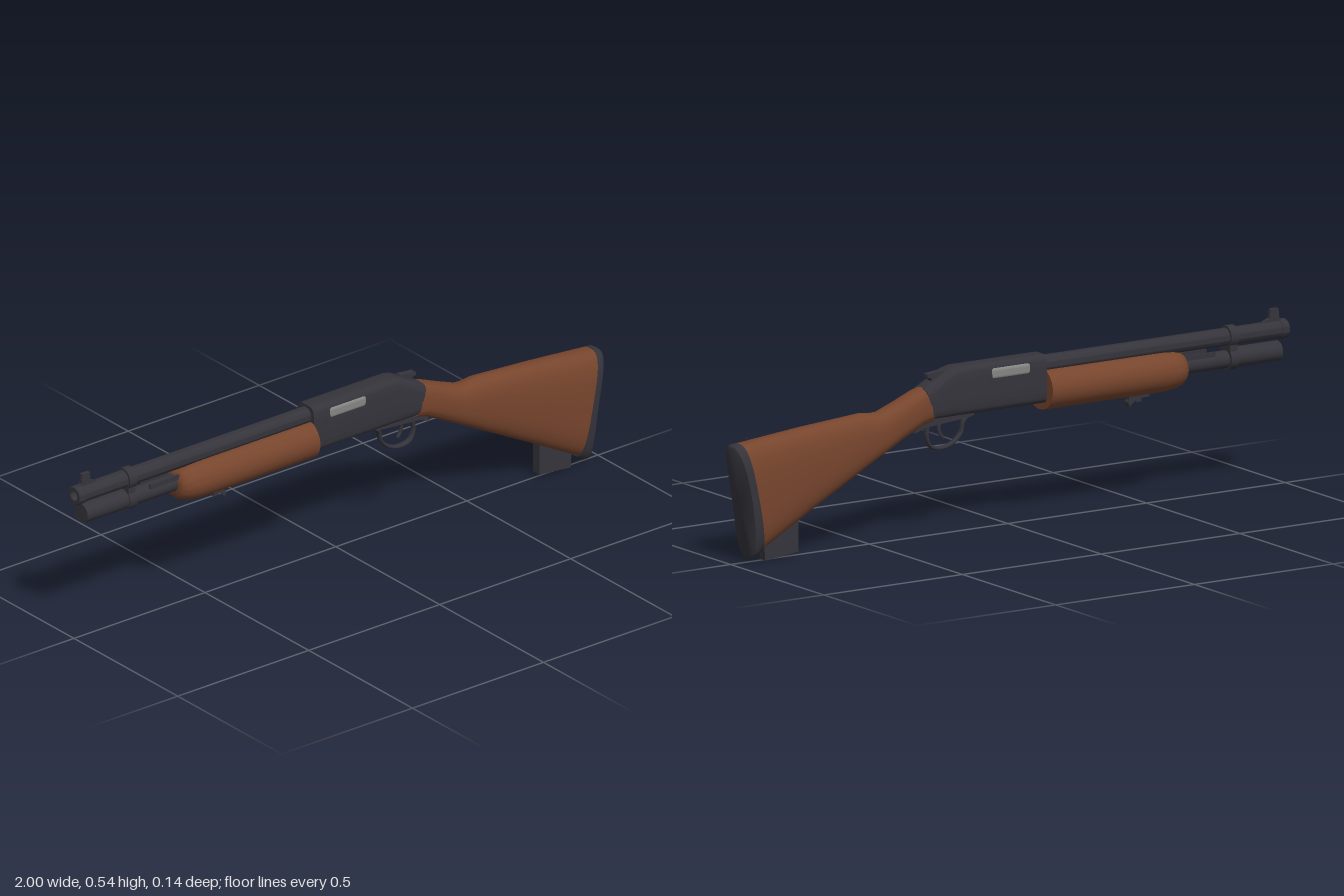
import * as THREE from 'three';
import { toCreasedNormals } from 'three/addons/utils/BufferGeometryUtils.js';
import { RoundedBoxGeometry } from 'three/addons/geometries/RoundedBoxGeometry.js';

// Skin a list of rings (ordered along +x, points running from +y towards +z) and cap both ends
function loft(rings) {
  const n = rings[0].length, pos = [], idx = [];
  rings.forEach(r => r.forEach(p => pos.push(p.x, p.y, p.z)));
  for (let i = 0; i < rings.length - 1; i++) {
    for (let j = 0; j < n; j++) {
      const k = (j + 1) % n, a = i * n + j, b = i * n + k;
      idx.push(a, b, a + n, b, b + n, a + n);
    }
  }
  [0, rings.length - 1].forEach((i, end) => {
    const c = new THREE.Vector3();
    rings[i].forEach(p => c.addScaledVector(p, 1 / n));
    const centre = pos.length / 3;
    pos.push(c.x, c.y, c.z);
    for (let j = 0; j < n; j++) {
      const a = i * n + j, b = i * n + (j + 1) % n;
      if (end) idx.push(centre, a, b); else idx.push(centre, b, a);
    }
  });
  const g = new THREE.BufferGeometry();
  g.setAttribute('position', new THREE.Float32BufferAttribute(pos, 3));
  g.setIndex(idx);
  return toCreasedNormals(g, 0.65);
}

// Rounded section between a top and a bottom point; e sets squareness, bow hollows the middle
function section([tx, ty, bx, by, w, e, bow = 0], n = 40) {
  const ring = [];
  for (let j = 0; j < n; j++) {
    const t = j / n * Math.PI * 2, c = Math.cos(t), s = Math.sin(t);
    const u = Math.sign(c) * Math.abs(c) ** (2 / e), v = Math.sign(s) * Math.abs(s) ** (2 / e);
    ring.push(new THREE.Vector3(
      (tx + bx) / 2 + (tx - bx) / 2 * u + bow * (1 - u * u),
      (ty + by) / 2 + (ty - by) / 2 * u, w * v));
  }
  return ring;
}

export function createModel() {
  const model = new THREE.Group();
  const mat = (name, color) => Object.assign(new THREE.MeshStandardMaterial({ color }), { name });
  const steel = mat('dark steel', 0x35343b), wood = mat('brown wood', 0x77452d), bare = mat('bare steel', 0x858684);

  const add = (name, geo, material, x = 0, y = 0, z = 0) => {
    const m = new THREE.Mesh(geo, material);
    m.name = name;
    m.position.set(x, y, z);
    model.add(m);
    return m;
  };
  const box = (name, x0, x1, y0, y1, depth, z = 0) =>
    add(name, new THREE.BoxGeometry(x1 - x0, y1 - y0, depth), steel, (x0 + x1) / 2, (y0 + y1) / 2, z);
  const rod = (name, x0, x1, y, r) =>
    add(name, new THREE.CylinderGeometry(r, r, x1 - x0, 28).rotateZ(Math.PI / 2), steel, (x0 + x1) / 2, y);
  const plate = (name, pts, depth) => {
    const shape = new THREE.Shape(pts.map(p => new THREE.Vector2(...p)));
    const g = new THREE.ExtrudeGeometry(shape, { depth, bevelEnabled: false });
    return add(name, g.translate(0, 0, -depth / 2), steel);
  };
  const wire = (name, pts, r) => {
    const curve = new THREE.CatmullRomCurve3(pts.map(([x, y]) => new THREE.Vector3(x, y, 0)));
    return add(name, new THREE.TubeGeometry(curve, 40, r, 8), steel);
  };

  // Barrel with a bored muzzle ring, as a turned profile laid along x
  const profile = [[0.016, 0.1], [0.016, 0], [0.027, 0], [0.03, 0.004], [0.03, 0.025], [0.027, 0.028], [0.027, 0.9]]
    .map(p => new THREE.Vector2(...p));
  const barrel = toCreasedNormals(new THREE.LatheGeometry(profile, 28).rotateZ(-Math.PI / 2), 0.6);
  add('barrel', barrel, steel, -1, 0.475);
  rod('barrelBore', -0.93, -0.92, 0.475, 0.02);

  // Magazine tube, cap, clamp band and action bars
  rod('magazineTube', -0.82, -0.1, 0.406, 0.027);
  rod('magazineCap', -0.972, -0.81, 0.409, 0.031);
  rod('bandUpper', -0.812, -0.784, 0.475, 0.034);
  rod('bandLower', -0.812, -0.784, 0.408, 0.035);
  box('bandBridge', -0.812, -0.784, 0.41, 0.475, 0.05);
  for (const s of [-1, 1]) box('actionBar', -0.73, -0.55, 0.425, 0.44, 0.008, s * 0.025);

  // Front sight on its ramp
  plate('frontSight', [[-0.985, 0.495], [-0.9, 0.495], [-0.94, 0.512], [-0.944, 0.54], [-0.972, 0.54], [-0.975, 0.51]], 0.012);

  // Forend: round below, flat on top, nose rounded off
  const forend = [[-0.624, 0.55], [-0.62, 0.68], [-0.607, 0.83], [-0.585, 0.93], [-0.55, 0.99], [-0.52, 1], [-0.115, 1]]
    .map(([x, k]) => Array.from({ length: 48 }, (_, j) => {
      const t = j / 48 * Math.PI * 2;
      return new THREE.Vector3(x, 0.402 + Math.min(0.058, 0.066 * Math.cos(t)) * k, 0.071 * Math.sin(t) * k);
    }));
  add('forend', loft(forend), wood);

  // Sling swivel under the forend
  box('swivelBase', -0.505, -0.43, 0.328, 0.345, 0.018);
  box('swivelPost', -0.475, -0.455, 0.317, 0.335, 0.02);
  plate('swivelHook', [[-0.465, 0.33], [-0.43, 0.305], [-0.428, 0.318], [-0.438, 0.335]], 0.022);

  // Receiver and the bolt showing through both sides
  add('receiver', loft([
    [-0.115, 0.51, -0.115, 0.36, 0.04, 5],
    [0.2, 0.51, 0.2, 0.36, 0.04, 5],
    [0.225, 0.504, 0.218, 0.36, 0.04, 5],
    [0.318, 0.456, 0.288, 0.36, 0.041, 4],
  ].map(r => section(r))), steel);
  add('bolt', new RoundedBoxGeometry(0.15, 0.042, 0.083, 4, 0.014), bare, 0.015, 0.476);
  for (const s of [-1, 1]) box('portLip', -0.068, 0.09, 0.45, 0.456, 0.006, s * 0.04);

  // Rear sight
  plate('rearSight', [[0.235, 0.49], [0.28, 0.465], [0.285, 0.484], [0.297, 0.486], [0.297, 0.496], [0.24, 0.502]], 0.022);

  // Trigger group
  plate('triggerPlate', [[0.125, 0.365], [0.14, 0.35], [0.31, 0.335], [0.345, 0.322], [0.34, 0.335], [0.3, 0.365]], 0.035);
  wire('triggerGuard', [[0.14, 0.355], [0.162, 0.335], [0.172, 0.3], [0.205, 0.272], [0.245, 0.263],
    [0.28, 0.272], [0.294, 0.3], [0.29, 0.345]], 0.006).scale.z = 1.8;
  wire('trigger', [[0.235, 0.355], [0.249, 0.33], [0.247, 0.31], [0.235, 0.293]], 0.006);

  // Stock from grip to butt
  add('stock', loft([
    [0.314, 0.458, 0.284, 0.352, 0.041, 3],
    [0.34, 0.45, 0.325, 0.342, 0.042, 2.8],
    [0.4, 0.426, 0.39, 0.309, 0.043, 2.6],
    [0.465, 0.401, 0.46, 0.272, 0.045, 2.6],
    [0.49, 0.4, 0.5, 0.251, 0.045, 2.6],
    [0.53, 0.405, 0.55, 0.224, 0.046, 2.6],
    [0.75, 0.388, 0.72, 0.134, 0.052, 2.8],
    [0.92, 0.371, 0.87, 0.053, 0.058, 3],
    [0.972, 0.366, 0.905, 0.035, 0.059, 3, -0.003],
  ].map(r => section(r))), wood);

  // Hollow-backed butt pad
  add('buttPad', loft([
    [0.971, 0.367, 0.904, 0.03, 0.0595, 3, -0.003],
    [0.988, 0.366, 0.925, 0.013, 0.059, 3, -0.007],
    [0.997, 0.36, 0.94, 0.012, 0.057, 3, -0.012],
    [1.0, 0.35, 0.946, 0.02, 0.05, 3, -0.014],
  ].map(r => section(r))), steel);

  // Sling mount under the toe of the stock
  plate('slingMount', [[0.765, 0.012], [0.885, 0], [0.89, 0.08], [0.765, 0.125]], 0.03);

  return model;
}
